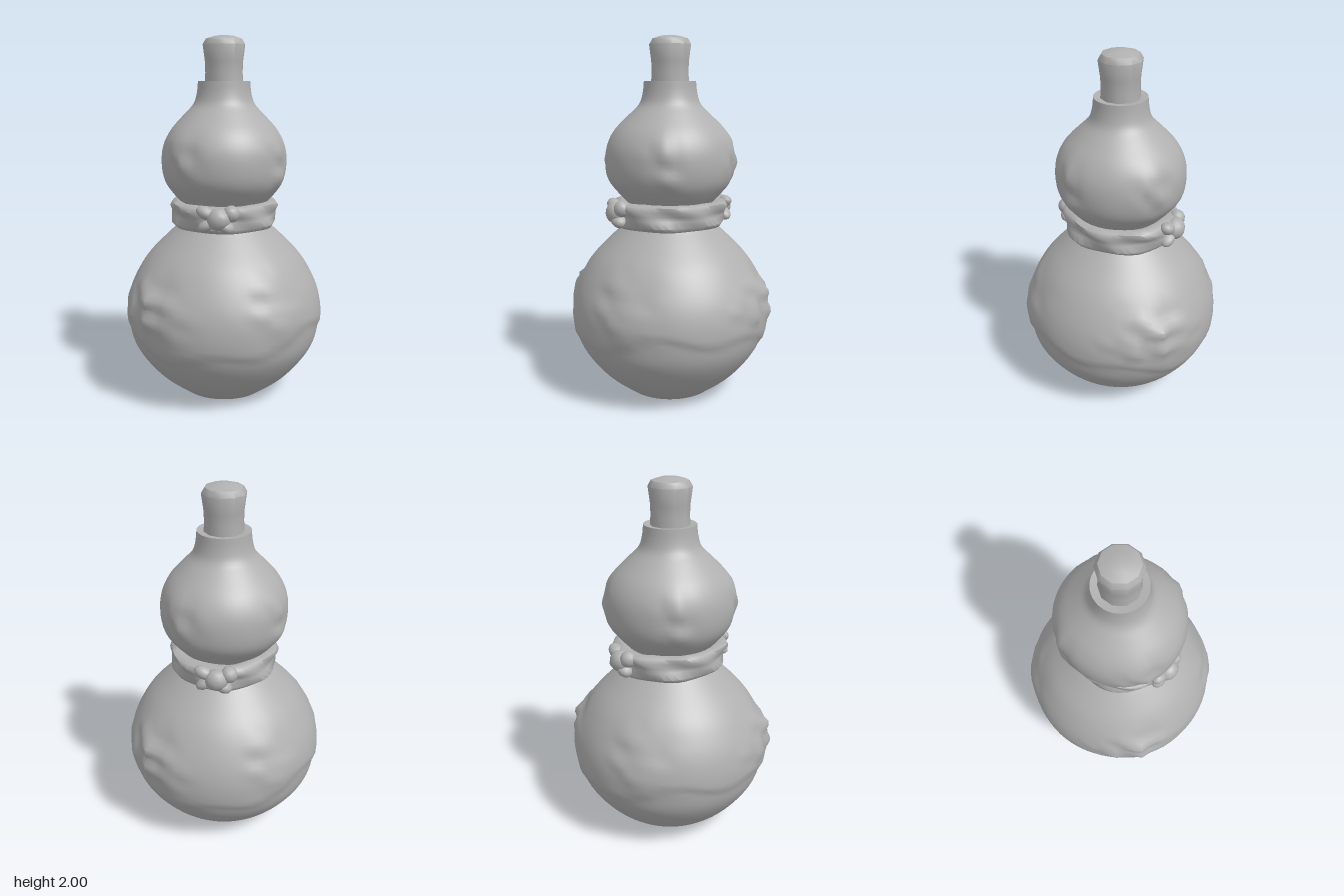
import * as THREE from 'three';
import { mergeVertices, toCreasedNormals } from 'three/addons/utils/BufferGeometryUtils.js';

const clay = new THREE.MeshStandardMaterial({ color: 0xb0b0b0 });
clay.name = 'clay grey';

const step = (a, b, v) => THREE.MathUtils.smoothstep(v, a, b);
const V2 = (p) => new THREE.Vector2(p[0], p[1]);

// Repeatable value for one cell, used for the ragged carving
const hash = (a, b) => {
  const s = Math.sin(a * 127.1 + b * 311.7) * 43758.5453;
  return s - Math.floor(s);
};
// Smooth cell noise; the pattern repeats every half turn
function rough(angle, y, cells, scale) {
  const u = ((angle / Math.PI + 2) % 1) * cells, v = y * scale;
  const i = Math.floor(u), j = Math.floor(v);
  const fu = step(0, 1, u - i), fv = step(0, 1, v - j);
  const h = (a, b) => hash(a % cells, b);
  return THREE.MathUtils.lerp(
    THREE.MathUtils.lerp(h(i, j), h(i + 1, j), fu),
    THREE.MathUtils.lerp(h(i, j + 1), h(i + 1, j + 1), fu), fv) - 0.5;
}
// Soft spot around an angle and height, mirrored by a half turn
function spot(angle, y, a0, y0, wa, wy) {
  let d = (angle - a0) % Math.PI;
  if (d > Math.PI / 2) d -= Math.PI;
  if (d < -Math.PI / 2) d += Math.PI;
  return Math.exp(-((d / wa) ** 2) - ((y - y0) / wy) ** 2);
}

// Turned shape whose radius is pushed in or out by a rule
function turned(name, points, segments, push, crease = 0.75) {
  let geo = new THREE.LatheGeometry(points, segments);
  geo.deleteAttribute('uv');
  geo.deleteAttribute('normal');
  const p = geo.attributes.position;
  for (let i = 0; i < p.count; i++) {
    const x = p.getX(i), y = p.getY(i), z = p.getZ(i), r = Math.hypot(x, z);
    if (r < 0.01) continue;
    const k = 1 + push(Math.atan2(x, z), y) / r;
    p.setXYZ(i, x * k, y, z * k);
  }
  geo = toCreasedNormals(mergeVertices(geo, 1e-4), crease);
  const mesh = new THREE.Mesh(geo, clay);
  mesh.name = name;
  return mesh;
}
const smoothProfile = (list, n) => new THREE.SplineCurve(list.map(V2)).getPoints(n);

// Large lower bulb: scalloped upper skin and carved leaf clusters
function lowerBulb() {
  const profile = smoothProfile([[0.24, 0], [0.37, 0.1], [0.46, 0.2], [0.52, 0.3], [0.542, 0.4],
    [0.542, 0.5], [0.52, 0.6], [0.475, 0.7], [0.41, 0.8], [0.32, 0.9], [0.24, 0.98], [0.21, 1.04]], 44);
  return turned('lowerBulb', [new THREE.Vector2(0, 0), ...profile], 72, (a, y) => {
    const edge = 0.38 + 0.06 * Math.cos(2 * a - 2.6) + 0.03 * Math.cos(6 * a);
    const skin = 0.012 * step(edge - 0.02, edge + 0.02, y) * (1 - step(0.75, 0.95, y));
    const leaf = spot(a, y, -0.78, 0.57, 0.36, 0.13);
    const small = spot(a, y, 0.65, 0.6, 0.35, 0.16);
    return skin + leaf * (0.028 + 0.085 * rough(a, y, 22, 16))
      + small * 0.035 * rough(a, y, 20, 14);
  });
}

// Smaller upper bulb, a little deeper than wide, with low carving
function upperBulb() {
  const profile = smoothProfile([[0.21, 1.02], [0.235, 1.08], [0.285, 1.14], [0.33, 1.21], [0.347, 1.3],
    [0.338, 1.4], [0.295, 1.49], [0.225, 1.57], [0.17, 1.63], [0.15, 1.69], [0.143, 1.755]], 36);
  const mesh = turned('upperBulb', [...profile, V2([0.1, 1.75])], 60, (a, y) => {
    const carve = spot(a, y, -0.55, 1.35, 0.3, 0.13) + spot(a, y, 1.15, 1.33, 0.28, 0.12);
    return 0.012 * (1 - step(1.45, 1.65, y)) * step(1.1, 1.25, y) * Math.cos(a) ** 2
      + carve * (0.012 + 0.05 * rough(a, y, 17, 13));
  });
  return mesh;
}

// Cloth sash around the waist, with soft folds
function sash() {
  const profile = [[0.22, 0.95], [0.272, 0.962], [0.292, 0.985], [0.282, 1.02], [0.282, 1.045],
    [0.296, 1.07], [0.288, 1.095], [0.25, 1.105], [0.21, 1.09]].map(V2);
  return turned('sash', profile, 48, (a, y) =>
    0.028 * Math.cos(a) ** 2 + 0.008 * Math.sin(6 * a + y * 40) + 0.012 * rough(a, y, 9, 12), 1.1);
}

// Lumpy knot built from a few squashed folds
function sashKnot() {
  const knot = new THREE.Group();
  knot.name = 'sashKnot';
  const folds = [[0.01, 1.045, 0.325, 0.065, 0.06, 0.055, 0.2], [-0.06, 1.075, 0.31, 0.055, 0.035, 0.04, -0.4],
    [0.075, 1.075, 0.31, 0.045, 0.045, 0.045, 0.5], [0.045, 1.005, 0.315, 0.05, 0.035, 0.045, -0.5],
    [-0.055, 1.01, 0.31, 0.055, 0.03, 0.04, 0.5]];
  for (const [x, y, z, sx, sy, sz, turn] of folds) {
    const fold = new THREE.Mesh(new THREE.SphereGeometry(1, 12, 8), clay);
    fold.name = 'knotFold';
    fold.position.set(x, y, z);
    fold.scale.set(sx, sy, sz);
    fold.rotation.z = turn;
    knot.add(fold);
  }
  return knot;
}

export function createModel() {
  const model = new THREE.Group();
  model.name = 'bottleGourd';
  model.add(lowerBulb(), upperBulb(), sash());

  // Knots at the front and the back
  for (const turn of [0, Math.PI]) {
    const knot = sashKnot();
    knot.rotation.y = turn;
    model.add(knot);
  }

  // Faceted stopper with a domed top
  const stopper = [[0.108, 1.74], [0.104, 1.8], [0.106, 1.86], [0.118, 1.95], [0.1, 1.98], [0.05, 1.995], [0, 2]];
  model.add(turned('stopper', stopper.map(V2), 10, () => 0, 0.7));
  return model;
}
